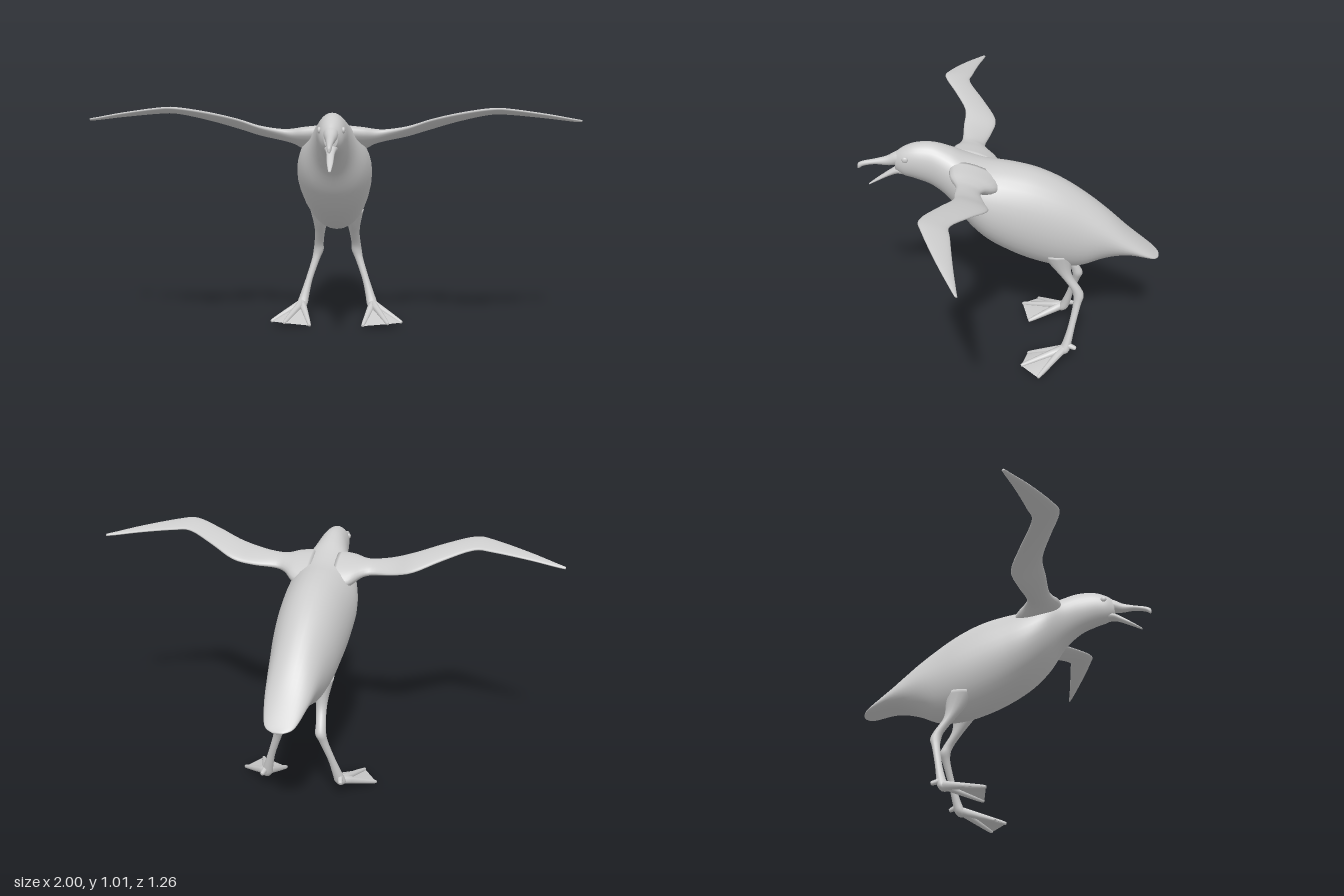
import * as THREE from 'three';

const material = new THREE.MeshStandardMaterial({ color: 0xcccccc });
const webMaterial = new THREE.MeshStandardMaterial({ color: 0xcccccc, side: THREE.DoubleSide });

// Catmull-Rom interpolation of rows of numbers
function smoothRows(rows, steps) {
  const out = [];
  const last = rows.length - 1;
  for (let i = 0; i < last; i++) {
    const [a, b, c, d] = [rows[Math.max(i - 1, 0)], rows[i], rows[i + 1], rows[Math.min(i + 2, last)]];
    for (let s = 0; s < steps; s++) {
      const t = s / steps;
      out.push(b.map((p, k) => p + 0.5 * t * (c[k] - a[k]
        + t * (2 * a[k] - 5 * p + 4 * c[k] - d[k] + t * (3 * (p - c[k]) + d[k] - a[k])))));
    }
  }
  out.push(rows[last]);
  return out;
}

// Loft through elliptical rings: each row is centre, axis u, axis v (u x v points along the loft)
function loft(rows, sides = 20, steps = 4) {
  const rings = smoothRows(rows, steps);
  const pos = [], index = [];
  for (const r of rings) {
    for (let j = 0; j < sides; j++) {
      const a = (j / sides) * Math.PI * 2;
      for (let k = 0; k < 3; k++) pos.push(r[k] + r[3 + k] * Math.cos(a) + r[6 + k] * Math.sin(a));
    }
  }
  for (let i = 0; i < rings.length - 1; i++) {
    for (let j = 0; j < sides; j++) {
      const a = i * sides + j, b = i * sides + (j + 1) % sides;
      index.push(a, b, b + sides, a, b + sides, a + sides);
    }
  }
  const start = rings.length * sides, end = start - sides;
  pos.push(...rings[0].slice(0, 3), ...rings[rings.length - 1].slice(0, 3));
  for (let j = 0; j < sides; j++) {
    const n = (j + 1) % sides;
    index.push(start, n, j, start + 1, end + j, end + n);
  }
  return makeGeometry(pos, index);
}

function makeGeometry(pos, index) {
  const g = new THREE.BufferGeometry();
  g.setAttribute('position', new THREE.Float32BufferAttribute(pos, 3));
  g.setIndex(index);
  g.computeVertexNormals();
  return g;
}

// Reflect across x = 0 and restore the face winding
function mirror(geometry) {
  const pos = Array.from(geometry.attributes.position.array, (v, i) => (i % 3 ? v : -v));
  return makeGeometry(pos, Array.from(geometry.index.array).reverse());
}

// Ring kinds: upright (z, top, bottom, half width), wing chord, level leg ring
const upright = ([z, top, bottom, w]) =>
  [0, (top + bottom) / 2, z, w, 0, 0, 0, (top - bottom) / 2, 0];
const chord = ([x, leadZ, leadY, trailZ, trailY, t]) =>
  [x, (leadY + trailY) / 2, (leadZ + trailZ) / 2, 0, t, 0, 0, (leadY - trailY) / 2, (leadZ - trailZ) / 2];
const level = ([x, y, z, rx, rz]) => [x, y, z, rx, 0, 0, 0, 0, rz];

// Thin toe running forward or back between two points
function toe(from, to, r0, r1) {
  const a = new THREE.Vector3(...from), b = new THREE.Vector3(...to);
  const dir = b.clone().sub(a).normalize();
  const u = new THREE.Vector3(0, 1, 0).cross(dir).normalize();
  const v = dir.clone().cross(u);
  const row = (p, r) => [...p.toArray(), ...u.clone().multiplyScalar(r).toArray(), ...v.clone().multiplyScalar(r).toArray()];
  return loft([row(a, r0), row(a.clone().lerp(b, 0.85), r1), row(b, r1 * 0.6)], 8, 3);
}

export function createModel() {
  const model = new THREE.Group();
  const add = (name, geometry, mat = material) => {
    const mesh = new THREE.Mesh(geometry, mat);
    mesh.name = name;
    model.add(mesh);
  };
  const addPair = (name, geometry, mat) => {
    add('left' + name, geometry, mat);
    add('right' + name, mirror(geometry), mat);
  };

  // Tail, torso, neck and head in one skin
  add('body', loft([
    [-0.63, 0.477, 0.468, 0.02],
    [-0.6, 0.5, 0.472, 0.06],
    [-0.5, 0.587, 0.487, 0.088],
    [-0.4, 0.685, 0.468, 0.105],
    [-0.3, 0.768, 0.428, 0.122],
    [-0.2, 0.833, 0.428, 0.138],
    [-0.1, 0.877, 0.455, 0.148],
    [0, 0.9, 0.5, 0.154],
    [0.1, 0.913, 0.565, 0.155],
    [0.18, 0.938, 0.645, 0.135],
    [0.25, 0.972, 0.74, 0.09],
    [0.32, 0.994, 0.802, 0.066],
    [0.39, 0.992, 0.833, 0.056],
    [0.44, 0.973, 0.848, 0.045],
    [0.475, 0.948, 0.87, 0.026],
  ].map(upright), 32, 5));

  // Open beak with a hooked upper tip
  add('upperBeak', loft([
    [0.43, 0.965, 0.9, 0.036],
    [0.475, 0.95, 0.893, 0.027],
    [0.51, 0.931, 0.89, 0.019],
    [0.56, 0.917, 0.894, 0.014],
    [0.605, 0.908, 0.886, 0.011],
    [0.626, 0.9, 0.874, 0.008],
    [0.633, 0.89, 0.874, 0.003],
  ].map(upright), 16));
  add('lowerBeak', loft([
    [0.42, 0.9, 0.846, 0.035],
    [0.465, 0.888, 0.853, 0.024],
    [0.5, 0.868, 0.842, 0.016],
    [0.55, 0.833, 0.818, 0.012],
    [0.59, 0.803, 0.797, 0.005],
  ].map(upright), 16));

  const eye = new THREE.SphereGeometry(0.013, 16, 12);
  eye.scale(0.6, 1, 1);
  eye.translate(0.046, 0.937, 0.43);
  addPair('Eye', eye);

  // Wings with a bent wrist, front edge raised
  addPair('Wing', loft([
    [0.05, 0.25, 0.91, 0.03, 0.83, 0.05],
    [0.12, 0.245, 0.905, 0.055, 0.845, 0.042],
    [0.165, 0.225, 0.9, 0.1, 0.868, 0.03],
    [0.21, 0.213, 0.905, 0.118, 0.875, 0.022],
    [0.3, 0.213, 0.925, 0.095, 0.885, 0.016],
    [0.39, 0.212, 0.955, 0.08, 0.908, 0.014],
    [0.5, 0.26, 0.985, 0.137, 0.948, 0.013],
    [0.62, 0.314, 1.008, 0.203, 0.982, 0.011],
    [0.7, 0.297, 1.004, 0.197, 0.982, 0.01],
    [0.85, 0.235, 0.98, 0.177, 0.966, 0.008],
    [0.96, 0.182, 0.958, 0.159, 0.951, 0.006],
    [1.0, 0.162, 0.951, 0.152, 0.947, 0.004],
  ].map(chord), 20));

  // Legs from thigh through the backward ankle to the foot
  addPair('Leg', loft([
    [0.07, 0.52, -0.19, 0.05, 0.07],
    [0.075, 0.45, -0.215, 0.03, 0.04],
    [0.079, 0.4, -0.24, 0.022, 0.024],
    [0.085, 0.345, -0.278, 0.021, 0.022],
    [0.088, 0.31, -0.291, 0.023, 0.023],
    [0.1, 0.27, -0.285, 0.018, 0.017],
    [0.13, 0.18, -0.265, 0.016, 0.015],
    [0.15, 0.11, -0.248, 0.021, 0.019],
    [0.16, 0.07, -0.235, 0.024, 0.023],
    [0.162, 0.052, -0.228, 0.012, 0.014],
  ].map(level), 14));

  // Webbed feet
  const heel = [0.162, 0.075, -0.23];
  const tips = [[0.118, 0.013, -0.075], [0.23, 0.032, -0.047], [0.293, 0.018, -0.12]];
  tips.forEach((tip, i) => addPair(['Inner', 'Middle', 'Outer'][i] + 'Toe', toe(heel, tip, 0.019, 0.01)));
  addPair('HindToe', toe([0.16, 0.098, -0.24], [0.17, 0.083, -0.285], 0.014, 0.01));
  addPair('Web', makeGeometry([...heel, ...tips.flat()], [0, 1, 2, 0, 2, 3]), webMaterial);

  return model;
}
